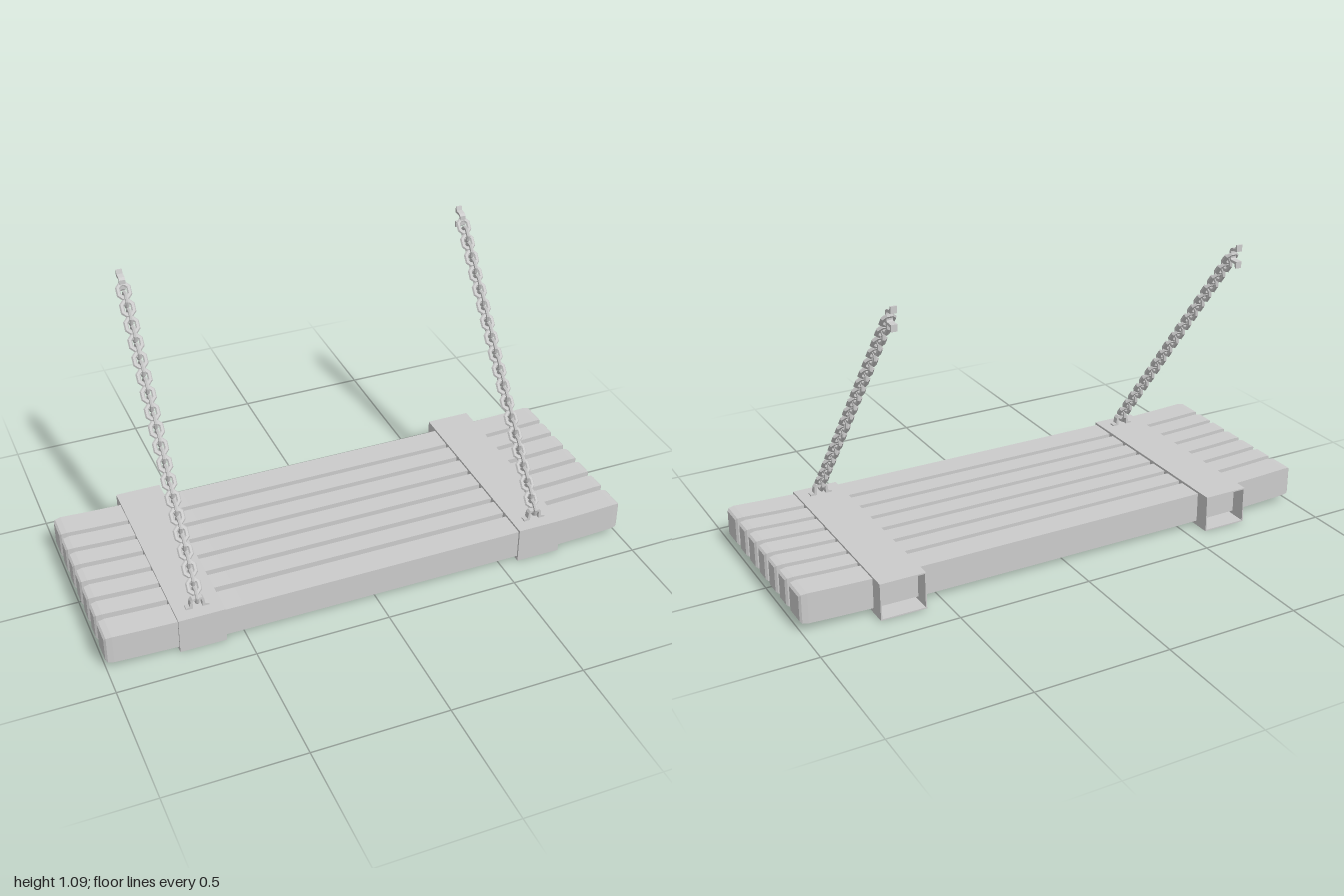
import * as THREE from 'three';

const material = new THREE.MeshStandardMaterial({ color: 0xcccccc, flatShading: true, side: THREE.DoubleSide });

function addMesh(parent, name, geometry, x = 0, y = 0, z = 0) {
  const mesh = new THREE.Mesh(geometry, material);
  mesh.name = name;
  mesh.position.set(x, y, z);
  parent.add(mesh);
  return mesh;
}

// Plank along x: ends bend slightly upward and finish in a small bevel
function plankGeometry(depth) {
  const half = [[0.5, 0, 0], [0.74, 0.002, 0], [0.86, 0.006, 0], [0.972, 0.011, 0], [0.993, 0.011, 0.003], [1, 0.011, 0.01]];
  const sections = [...half.map(([x, lift, inset]) => [-x, lift, inset]).reverse(), ...half];
  const n = sections.length - 1;
  const geometry = new THREE.BoxGeometry(2, 0.112, depth, n, 1, 1);
  const p = geometry.attributes.position;
  for (let i = 0; i < p.count; i++) {
    const [x, lift, inset] = sections[Math.round((p.getX(i) + 1) / 2 * n)];
    const y = p.getY(i), z = p.getZ(i);
    p.setXYZ(i, x, y - Math.sign(y) * inset + lift, z - Math.sign(z) * inset);
  }
  geometry.computeVertexNormals();
  return geometry;
}

// Oval eight-sided link, long along y, lying in the xy plane
function linkGeometry() {
  const geometry = new THREE.TorusGeometry(0.021, 0.009, 6, 8);
  geometry.rotateZ(Math.PI / 8);
  geometry.scale(1, 1, 0.75);
  const p = geometry.attributes.position;
  for (let i = 0; i < p.count; i++) p.setY(i, p.getY(i) + Math.sign(p.getY(i)) * 0.0045);
  return geometry;
}

// Hat-shaped staple with flat feet, standing on y = 0
function stapleGeometry() {
  const outer = [[0.042, 0], [0.042, 0.006], [0.028, 0.01], [0.025, 0.032], [0.018, 0.041]];
  const inner = [[0.018, 0], [0.017, 0.029], [0.013, 0.033]];
  const right = [...inner].reverse().concat(outer);
  const left = right.map(([x, y]) => [-x, y]);
  const outline = [...right, ...left.reverse()];
  const shape = new THREE.Shape(outline.map(([x, y]) => new THREE.Vector2(x, y)));
  const geometry = new THREE.ExtrudeGeometry(shape, { depth: 0.022, bevelEnabled: false });
  geometry.translate(0, 0, -0.011);
  return geometry;
}

// Hollow sleeve around the planks, open at the back
function createSleeve() {
  const sleeve = new THREE.Group();
  sleeve.name = 'sleeve';
  const w = 0.17, h = 0.138, d = 0.783, t = 0.005;
  addMesh(sleeve, 'sleeveTop', new THREE.BoxGeometry(w, t, d), 0, h - t / 2, 0);
  addMesh(sleeve, 'sleeveBottom', new THREE.BoxGeometry(w, t, d), 0, t / 2, 0);
  addMesh(sleeve, 'sleeveFront', new THREE.BoxGeometry(w, h - 2 * t, t), 0, h / 2, (d - t) / 2);
  for (const s of [-1, 1]) {
    addMesh(sleeve, 'sleeveSide', new THREE.BoxGeometry(t, h - 2 * t, d - t), s * (w - t) / 2, h / 2, -t / 2);
  }
  return sleeve;
}

// Chain of links, each turned a quarter from the last
function createChain(geometry) {
  const chain = new THREE.Group();
  chain.name = 'chain';
  const start = new THREE.Vector3(0, 0.18, 0.327);
  const end = new THREE.Vector3(0, 1.03, -0.338);
  const steps = 35;
  const direction = end.clone().sub(start).normalize();
  const align = new THREE.Quaternion().setFromUnitVectors(new THREE.Vector3(0, 1, 0), direction);
  for (let i = 0; i <= steps; i++) {
    const link = addMesh(chain, 'chainLink', geometry);
    link.position.lerpVectors(start, end, i / steps);
    link.quaternion.copy(align);
    if (i % 2 === 0) link.rotateY(Math.PI / 2);
  }
  return chain;
}

export function createModel() {
  const model = new THREE.Group();
  model.name = 'hangingShelf';

  // Seven planks, the outer two wider
  const wide = plankGeometry(0.102), narrow = plankGeometry(0.075);
  addMesh(model, 'frontPlank', wide, 0, 0.073, 0.333);
  addMesh(model, 'backPlank', wide, 0, 0.073, -0.282);
  for (let i = 0; i < 5; i++) addMesh(model, 'middlePlank', narrow, 0, 0.073, 0.2205 - i * 0.098);

  // Sleeve, chain and two staples on each side
  const link = linkGeometry(), staple = stapleGeometry();
  for (const side of [-1, 1]) {
    const support = new THREE.Group();
    support.name = side > 0 ? 'leftSupport' : 'rightSupport';
    support.position.x = side * 0.656;
    support.add(createSleeve(), createChain(link));
    addMesh(support, 'shelfStaple', staple, 0, 0.137, 0.334);
    const wall = addMesh(support, 'wallStaple', staple, 0, 1.049, -0.388);
    wall.rotation.set(Math.PI / 2, 0, Math.PI / 2, 'XYZ');
    wall.quaternion.setFromRotationMatrix(new THREE.Matrix4().makeBasis(
      new THREE.Vector3(0, 1, 0), new THREE.Vector3(0, 0, 1), new THREE.Vector3(1, 0, 0)));
    model.add(support);
  }
  return model;
}
